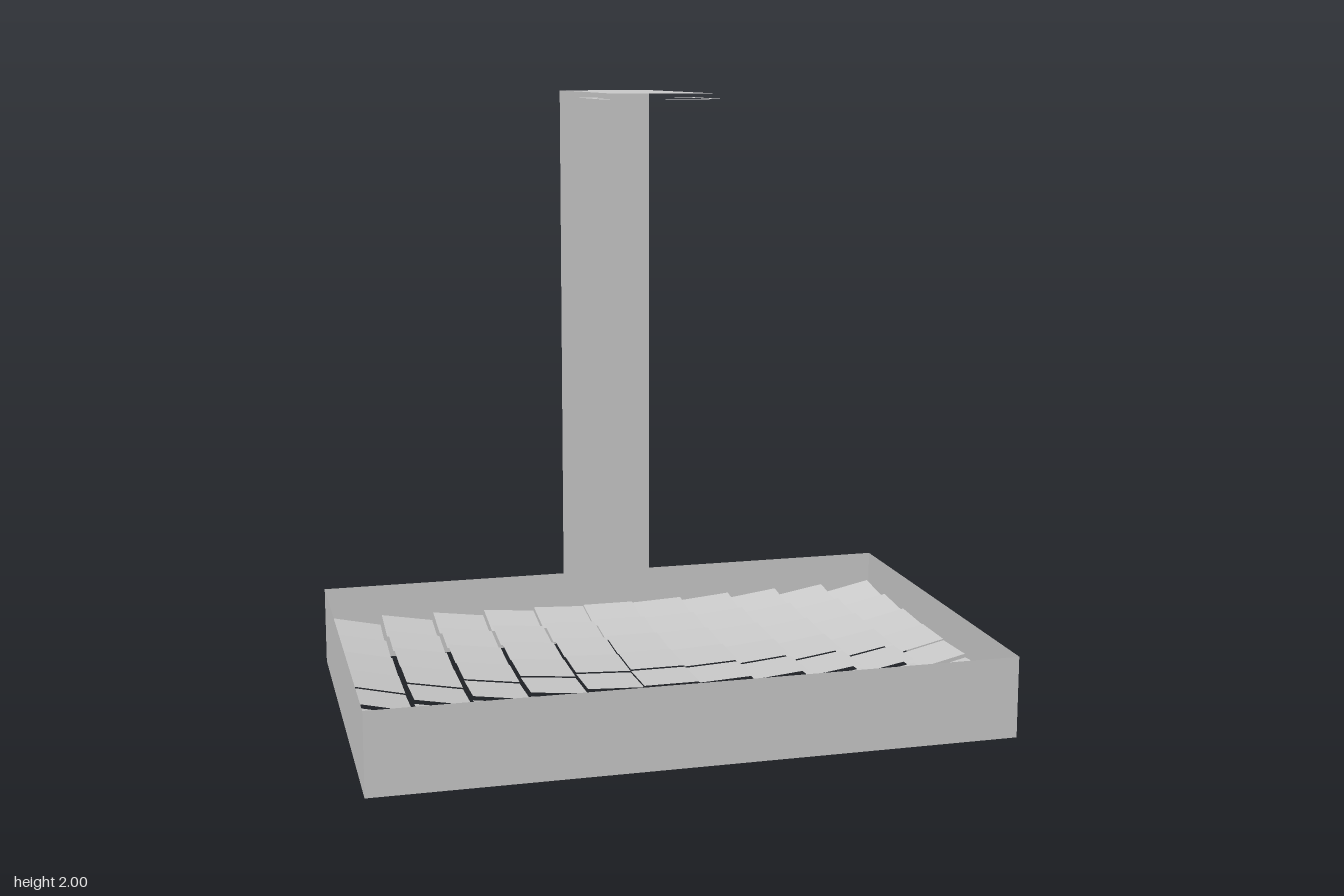
import * as THREE from 'three';

const HALF_X = 0.985, HALF_Z = 0.635, RIM = 0.255;
const POST_TOP = 1.93, POST_W = 0.31;

export function createModel() {
  const model = new THREE.Group();
  const material = new THREE.MeshStandardMaterial({
    color: 0xcccccc, side: THREE.DoubleSide, flatShading: true,
  });

  const add = (name, geometry, x, y, z, parent = model) => {
    const mesh = new THREE.Mesh(geometry, material);
    mesh.name = name;
    mesh.position.set(x, y, z);
    parent.add(mesh);
    return mesh;
  };
  const sheet = (w, d) => new THREE.PlaneGeometry(w, d).rotateX(-Math.PI / 2);

  // Open tray: four thin walls, no floor
  const tray = new THREE.Group();
  tray.name = 'trayWalls';
  model.add(tray);
  for (const s of [1, -1]) {
    const long = add(s > 0 ? 'frontWall' : 'backWall',
      new THREE.PlaneGeometry(2 * HALF_X, RIM), 0, RIM / 2, s * HALF_Z, tray);
    long.rotation.y = s > 0 ? 0 : Math.PI;
    const side = add(s > 0 ? 'leftWall' : 'rightWall',
      new THREE.PlaneGeometry(2 * HALF_Z, RIM), s * HALF_X, RIM / 2, 0, tray);
    side.rotation.y = s * Math.PI / 2;
  }

  // Post rising from the back wall, with an arm reaching over the centre
  const post = add('post', new THREE.PlaneGeometry(POST_W, POST_TOP - RIM),
    0, (POST_TOP + RIM) / 2, -HALF_Z);
  post.rotation.y = Math.PI;
  const armEnd = POST_W / 2;
  add('arm', sheet(POST_W, HALF_Z + armEnd), 0, POST_TOP, (armEnd - HALF_Z) / 2);

  // Receiver: square rim just below the arm and a plate above it
  const square = (path, h) => path.moveTo(-h, -h).lineTo(h, -h).lineTo(h, h).lineTo(-h, h).closePath();
  const rim = square(new THREE.Shape(), 0.1875);
  rim.holes.push(square(new THREE.Path(), POST_W / 2));
  add('receiverRim', new THREE.ShapeGeometry(rim).rotateX(-Math.PI / 2), 0, 1.913, 0);
  const target = add('receiverPlate', sheet(POST_W, POST_W), 0, 2, 0).position;

  // Mirror tiles: each tilts halfway between straight up and the receiver
  const mirrors = new THREE.Group();
  mirrors.name = 'mirrorTiles';
  model.add(mirrors);
  const pitch = 0.1775, up = new THREE.Vector3(0, 1, 0), tile = sheet(0.176, 0.176);
  for (let i = -5; i <= 5; i++) {
    for (let j = -3; j <= 3; j++) {
      const mirror = add('mirrorTile', tile, i * pitch, RIM / 2, j * pitch, mirrors);
      const normal = target.clone().sub(mirror.position).normalize().add(up).normalize();
      mirror.quaternion.setFromUnitVectors(up, normal);
    }
  }
  return model;
}
